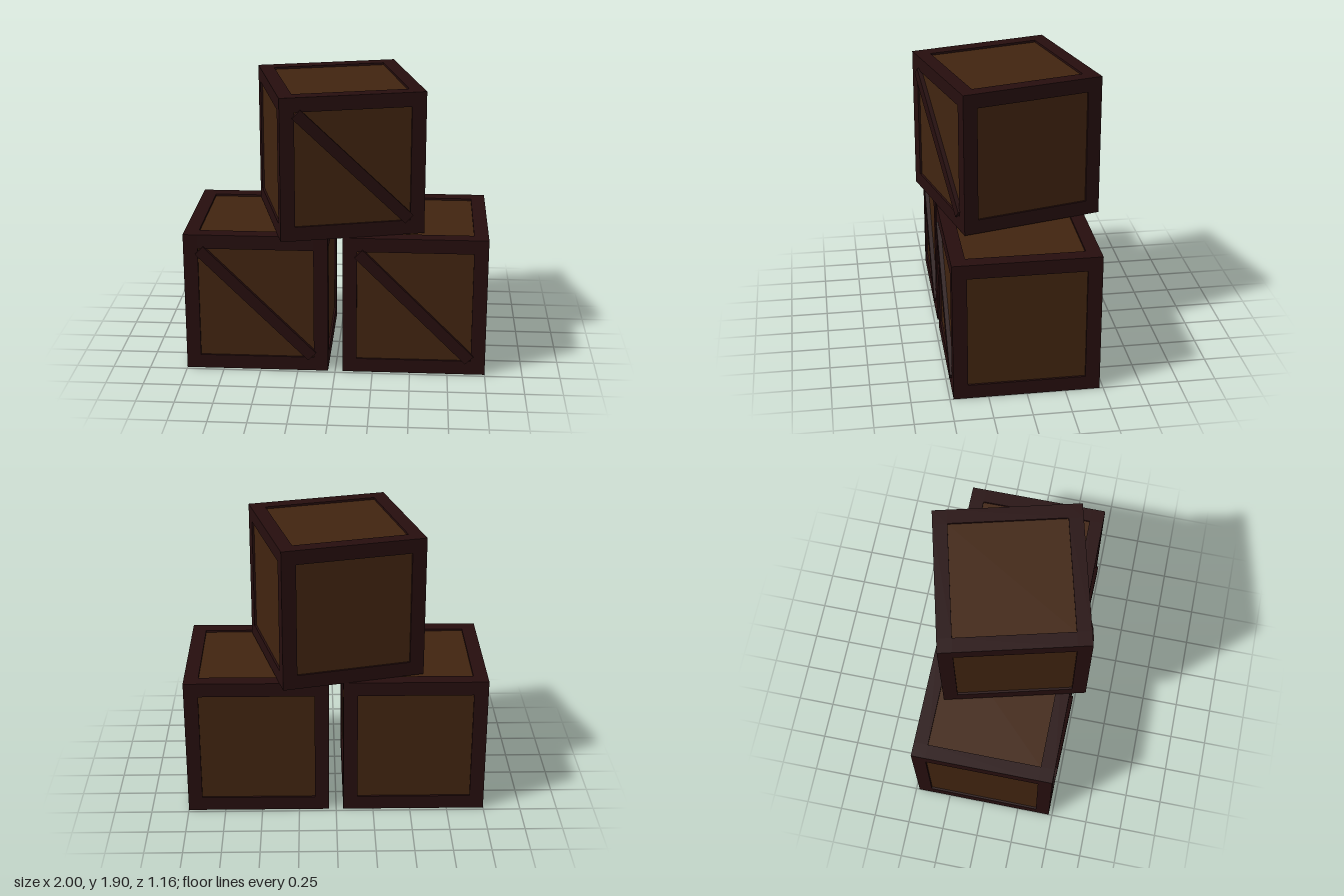
import * as THREE from 'three';

const SIZE = 0.952;            // crate edge length
const BEAM = 0.095;            // frame beam thickness
const INSET = 0.014;           // panel recess below the frame
const INNER = SIZE - 2 * BEAM; // opening between beams

const darkWood = new THREE.MeshStandardMaterial({ color: 0x260e0e });
darkWood.name = 'dark frame wood';
const panelWood = new THREE.MeshStandardMaterial({ color: 0x412410 });
panelWood.name = 'brown panel wood';

function box(name, material, w, h, d, x = 0, y = 0, z = 0) {
  const mesh = new THREE.Mesh(new THREE.BoxGeometry(w, h, d), material);
  mesh.name = name;
  mesh.position.set(x, y, z);
  return mesh;
}

function createCrate(name) {
  const crate = new THREE.Group();
  crate.name = name;

  // Recessed panels on all six sides
  const core = SIZE - 2 * INSET;
  crate.add(box('panelsFrontBack', panelWood, INNER, INNER, core));
  crate.add(box('panelsLeftRight', panelWood, core, INNER, INNER));
  crate.add(box('panelsTopBottom', panelWood, INNER, core, INNER));

  // Frame: four posts, with rails fitted between them
  const frame = new THREE.Group();
  frame.name = 'frame';
  const e = (SIZE - BEAM) / 2;
  for (const a of [-e, e]) {
    for (const b of [-e, e]) {
      frame.add(box('cornerPost', darkWood, BEAM, SIZE, BEAM, a, 0, b));
      frame.add(box('crossRail', darkWood, INNER, BEAM, BEAM, 0, a, b));
      frame.add(box('sideRail', darkWood, BEAM, BEAM, INNER, a, b, 0));
    }
  }
  crate.add(frame);

  // Diagonal brace on the front only, standing proud of the frame
  const brace = box('diagonalBrace', darkWood, 1.048, 0.076, 2 * INSET, 0, 0, SIZE / 2);
  brace.rotation.z = -Math.PI / 4;
  crate.add(brace);
  return crate;
}

export function createModel() {
  const model = new THREE.Group();
  model.name = 'crateStack';

  // Two crates side by side, one turned on top
  const layout = [
    ['lowerRightCrate', -0.524, SIZE / 2, 0],
    ['lowerLeftCrate', 0.524, SIZE / 2, 0],
    ['upperCrate', 0, SIZE * 1.5, 0.25],
  ];
  for (const [name, x, y, turn] of layout) {
    const crate = createCrate(name);
    crate.position.set(x, y, 0);
    crate.rotation.y = turn;
    model.add(crate);
  }
  return model;
}
